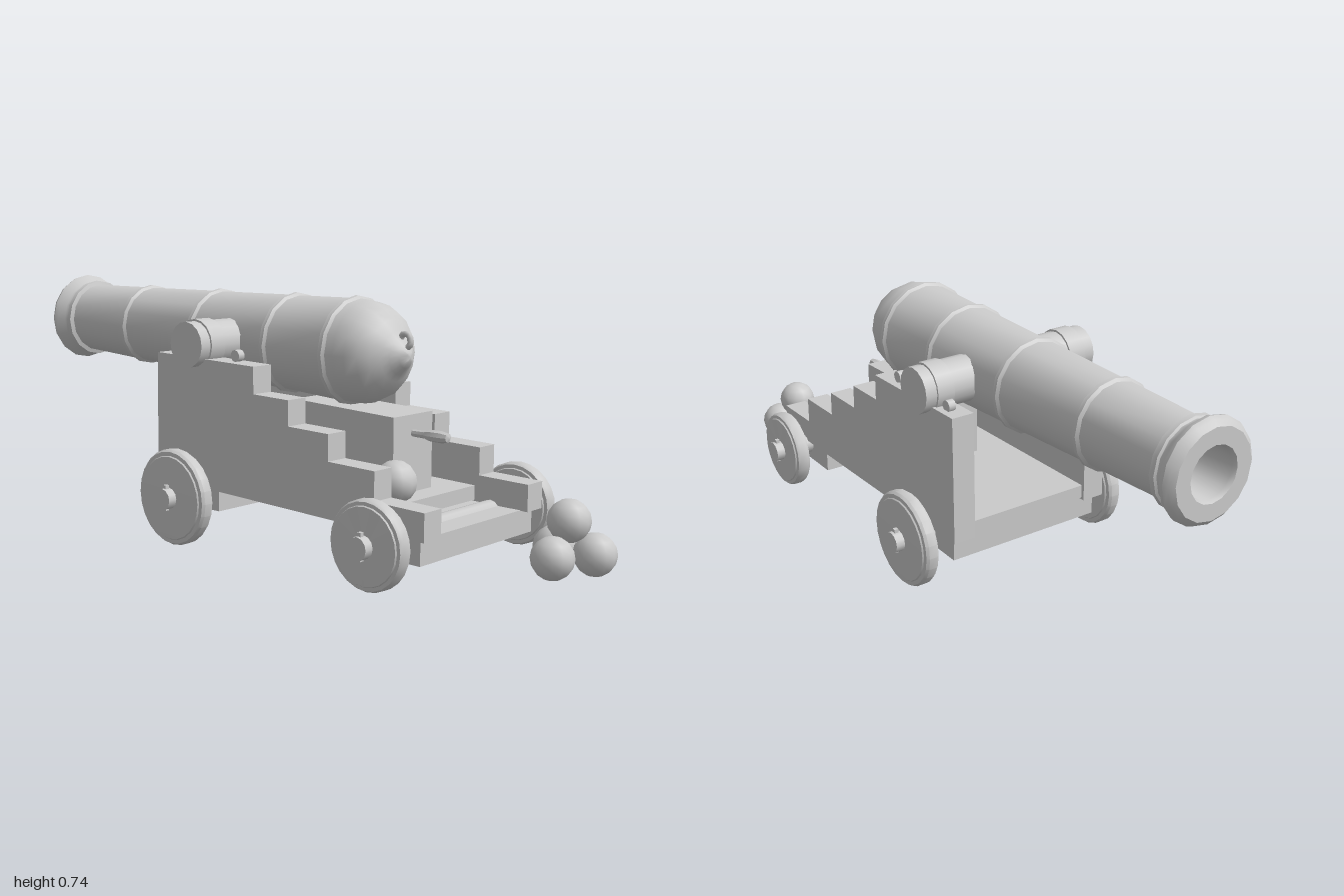
import * as THREE from 'three';
import { toCreasedNormals } from 'three/addons/utils/BufferGeometryUtils.js';

const grey = new THREE.MeshStandardMaterial({ color: 0xcccccc });

function add(parent, name, geometry, x = 0, y = 0, z = 0) {
  const mesh = new THREE.Mesh(geometry, grey);
  mesh.name = name;
  mesh.position.set(x, y, z);
  parent.add(mesh);
  return mesh;
}

const box = (w, h, d) => new THREE.BoxGeometry(w, h, d);
const rod = (r, length, sides = 16) => new THREE.CylinderGeometry(r, r, length, sides).rotateX(Math.PI / 2);
const ball = (r) => new THREE.SphereGeometry(r, 12, 8);

// Turned solid from [radius, height] pairs
function turned(points, sides) {
  const profile = points.map(([r, h]) => new THREE.Vector2(r, h));
  return toCreasedNormals(new THREE.LatheGeometry(profile, sides), 0.65);
}

// Side profile in x and y, given thickness and centred in z
function slab(points, thickness) {
  const shape = new THREE.Shape(points.map(([x, y]) => new THREE.Vector2(x, y)));
  return new THREE.ExtrudeGeometry(shape, { depth: thickness, bevelEnabled: false })
    .translate(0, 0, -thickness / 2);
}

function createBarrel() {
  const barrel = new THREE.Group();
  barrel.name = 'barrel';
  const pivotX = -0.135;

  // Bore, muzzle flare and neck ring
  const points = [
    [0, -0.4], [0.07, -0.4], [0.07, -0.985], [0.076, -0.997],
    [0.122, -0.997], [0.136, -0.985], [0.142, -0.972], [0.138, -0.958],
    [0.122, -0.94], [0.119, -0.928], [0.125, -0.924], [0.125, -0.908], [0.112, -0.904],
  ];
  // Tapering tube with raised bands
  const radiusAt = (x) => 0.112 + (x + 0.9) * 0.031;
  for (const x of [-0.63, -0.3, 0.025, 0.26]) {
    const r = radiusAt(x);
    points.push([r, x - 0.013], [r + 0.008, x - 0.006], [r + 0.008, x + 0.006], [r, x + 0.013]);
  }
  // Rounded breech
  points.push([0.147, 0.3], [0.14, 0.335], [0.124, 0.368], [0.1, 0.393], [0.072, 0.412],
    [0.052, 0.425], [0.032, 0.443], [0.014, 0.455], [0, 0.458]);
  const tube = add(barrel, 'barrelTube', turned(points.map(([r, x]) => [r, x - pivotX]), 16));
  tube.rotation.z = -Math.PI / 2;

  // Lifting loop on the breech
  const loop = new THREE.CatmullRomCurve3([
    new THREE.Vector3(0.55, 0.035, 0), new THREE.Vector3(0.565, 0.062, 0),
    new THREE.Vector3(0.585, 0.06, 0), new THREE.Vector3(0.59, 0.035, 0),
    new THREE.Vector3(0.572, 0.02, 0),
  ]);
  add(barrel, 'breechLoop', new THREE.TubeGeometry(loop, 10, 0.009, 6));

  add(barrel, 'trunnion', rod(0.067, 0.58));
  barrel.position.set(pivotX, 0.584, 0);
  barrel.rotation.z = -0.022;
  return barrel;
}

function createCarriage() {
  const carriage = new THREE.Group();
  carriage.name = 'carriage';

  // Stepped side cheeks with trunnion caps and bolts
  const cheek = [
    [-0.296, 0.17], [0.718, 0.148], [0.718, 0.225], [0.555, 0.228], [0.555, 0.308],
    [0.395, 0.311], [0.395, 0.385], [0.248, 0.388], [0.248, 0.46], [0.115, 0.463],
    [0.115, 0.54], [-0.288, 0.55],
  ];
  for (const side of [-1, 1]) {
    add(carriage, 'cheek', slab(cheek, 0.07), 0, 0, side * 0.23);
    add(carriage, 'trunnionCap', rod(0.073, 0.054), -0.135, 0.584, side * 0.228);
    for (const x of [-0.23, 0.022]) {
      add(carriage, 'capBolt', rod(0.017, 0.022, 10), x, 0.561, side * 0.235);
    }
  }

  // Sloping floor between the cheeks
  add(carriage, 'floor', slab([[-0.285, 0.175], [0.54, 0.155], [0.54, 0.197], [-0.285, 0.216]], 0.39));

  // Elevating wedge and its handle
  add(carriage, 'wedge', slab([[0.1, 0.2], [0.47, 0.19], [0.47, 0.416], [0.1, 0.43]], 0.17));
  const handle = turned([[0, 0], [0.01, 0], [0.011, 0.045], [0.016, 0.06],
    [0.017, 0.1], [0.013, 0.122], [0, 0.127]], 8);
  add(carriage, 'wedgeHandle', handle, 0.467, 0.364, 0).rotation.z = -Math.PI / 2;
  return carriage;
}

// Axle beam, axle, two wheels and their retaining pins
function createAxleSet(name, x, y, radius, beamY) {
  const set = new THREE.Group();
  set.name = name;
  add(set, 'axleBeam', box(0.225, 0.07, 0.5), -0.012, beamY - y, 0);
  add(set, 'axle', rod(0.031, 0.76, 12));
  const wheel = turned([[0, -0.025], [radius * 0.86, -0.025], [radius * 0.88, -0.021],
    [radius * 0.96, -0.02], [radius, -0.012], [radius, 0.012], [radius * 0.96, 0.02],
    [radius * 0.88, 0.021], [radius * 0.86, 0.025], [0, 0.025]], 24).rotateX(Math.PI / 2);
  for (const side of [-1, 1]) {
    add(set, 'wheel', wheel, 0, 0, side * 0.328);
    add(set, 'axlePin', box(0.012, 0.075, 0.012), 0, 0.003, side * 0.365);
  }
  set.position.set(x, y, 0);
  return set;
}

export function createModel() {
  const model = new THREE.Group();
  model.name = 'cannon';
  model.add(createBarrel(), createCarriage());
  model.add(createAxleSet('frontAxle', -0.145, 0.142, 0.141, 0.136));
  model.add(createAxleSet('rearAxle', 0.595, 0.133, 0.12, 0.115));

  // One ball on the carriage floor, four stacked behind it
  const balls = [
    [0.513, 0.253, 0.127], [0.813, 0.072, -0.186], [0.937, 0.072, -0.186],
    [0.877, 0.072, -0.075], [0.882, 0.162, -0.142],
  ];
  for (const [x, y, z] of balls) add(model, 'cannonball', ball(0.059), x, y, z);
  return model;
}
